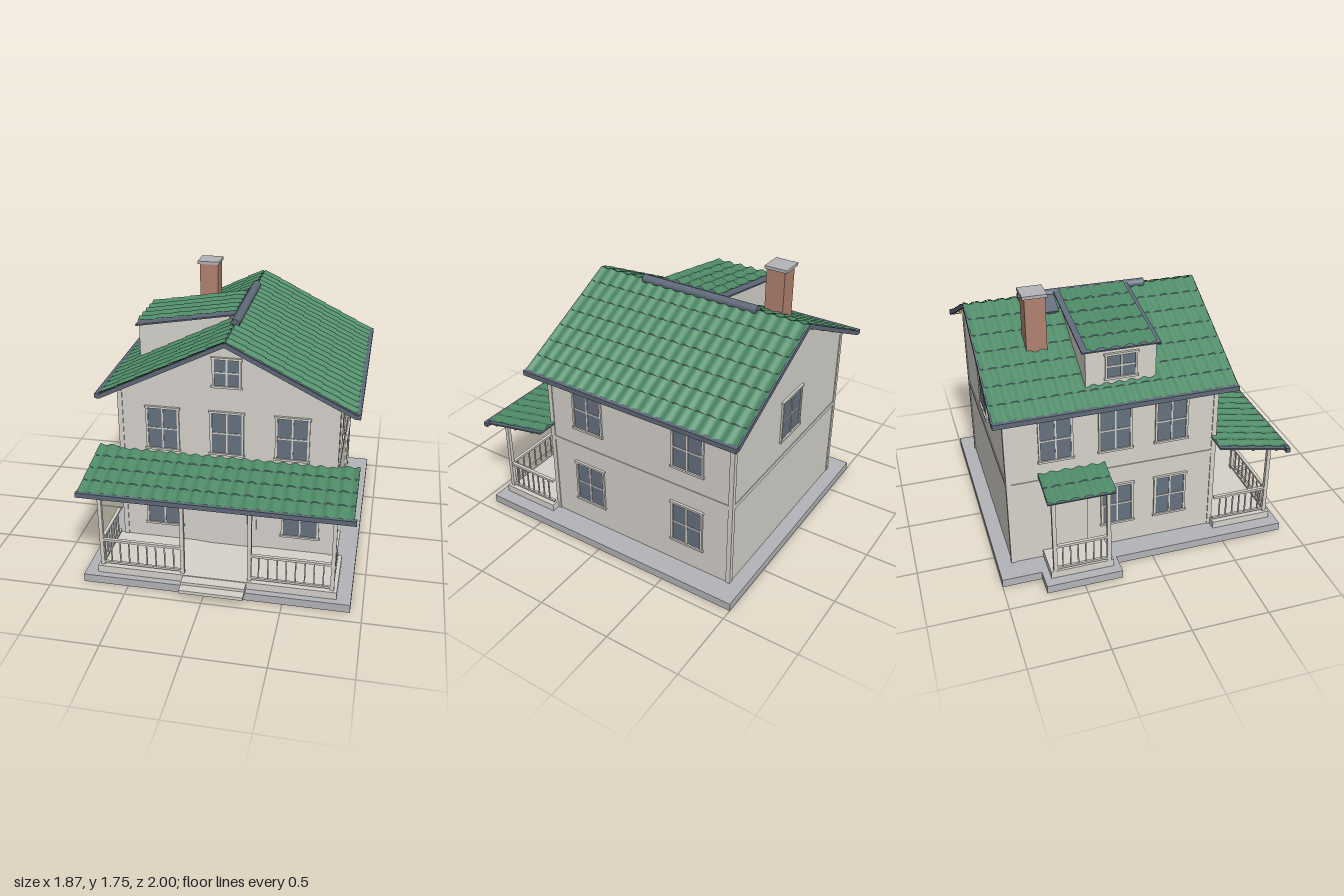
import * as THREE from 'three';
import { mergeGeometries } from 'three/addons/utils/BufferGeometryUtils.js';

const mat = (name, color, side = THREE.FrontSide) => {
  const m = new THREE.MeshStandardMaterial({ color, side });
  m.name = name;
  return m;
};

export function createModel() {
  const cream = mat('cream siding', 0xd6d3cc);
  const stone = mat('grey stone', 0xb4b5b9);
  const slate = mat('slate trim', 0x5f6979);
  const green = mat('green tiles', 0x4f8c68, THREE.DoubleSide);
  const glass = mat('window glass', 0x66727f);
  const wood = mat('rafter wood', 0xb8966c);
  const brick = mat('brick', 0xb28270);

  const house = new THREE.Group();
  house.name = 'house';

  const group = (name, parent = house) => {
    const g = new THREE.Group();
    g.name = name;
    parent.add(g);
    return g;
  };
  const add = (name, geo, m, parent = house) => {
    const mesh = new THREE.Mesh(geo, m);
    mesh.name = name;
    parent.add(mesh);
    return mesh;
  };
  // Box given by its limits on each axis
  const box = (name, m, x0, x1, y0, y1, z0, z1, parent = house) => {
    const mesh = add(name, new THREE.BoxGeometry(x1 - x0, y1 - y0, z1 - z0), m, parent);
    mesh.position.set((x0 + x1) / 2, (y0 + y1) / 2, (z0 + z1) / 2);
    return mesh;
  };
  // Outline in x-y extruded from z0 to z1
  const prism = (name, m, pts, z0, z1) => {
    const shape = new THREE.Shape(pts.map(p => new THREE.Vector2(...p)));
    const geo = new THREE.ExtrudeGeometry(shape, { depth: z1 - z0, bevelEnabled: false });
    geo.translate(0, 0, z0);
    return add(name, geo, m);
  };

  // Ground slabs, floors and steps
  box('mainSlab', stone, -0.795, 0.925, 0, 0.055, -1, 0.915);
  box('sideSlab', stone, -0.935, -0.79, 0, 0.055, -0.745, -0.25);
  box('porchFloor', cream, -0.71, 0.835, 0.055, 0.105, 0.46, 0.872);
  box('lowerStep', cream, -0.145, 0.265, 0.058, 0.08, 0.86, 1.0);
  box('upperStep', cream, -0.145, 0.265, 0.08, 0.1, 0.86, 0.94);
  box('sidePorchFloor', cream, -0.87, -0.64, 0.055, 0.105, -0.7, -0.29);

  // Walls with gables, corner boards and belt course
  const L = -0.645, R = 0.77, F = 0.465, B = -0.905, MID = 0.0625;
  prism('walls', cream, [[L, 0.05], [R, 0.05], [R, 1.2], [MID, 1.552], [L, 1.2]], B, F);
  for (const [x0, x1] of [[L - 0.006, L + 0.025], [R - 0.025, R + 0.006]])
    for (const [z0, z1] of [[B - 0.006, B + 0.025], [F - 0.025, F + 0.006]])
      box('cornerBoard', cream, x0, x1, 0.05, 1.18, z0, z1);
  box('beltCourse', cream, L - 0.005, R + 0.005, 0.628, 0.658, B - 0.005, F + 0.005);

  // Windows: glass, frame and crossing bars, turned to face out of a wall
  function addWindow(x, y, z, yaw, w, h) {
    const g = group('window');
    g.position.set(x, y, z);
    g.rotation.y = yaw;
    const a = w / 2, b = h / 2, t = 0.014;
    box('glass', glass, -a, a, -b, b, -0.002, 0.005, g);
    for (const s of [-1, 1]) {
      box('frameSide', cream, s * a - t / 2, s * a + t / 2, -b, b, 0, 0.012, g);
      box('frameRail', cream, -a - 0.014, a + 0.014, s * b - t / 2, s * b + t / 2, 0, 0.016, g);
    }
    box('verticalBar', cream, -0.005, 0.005, -b, b, 0, 0.009, g);
    box('crossBar', cream, -a, a, -0.005, 0.005, 0, 0.009, g);
  }
  for (const x of [-0.357, MID, 0.482]) addWindow(x, 0.935, F, 0, 0.205, 0.295);
  for (const x of [-0.36, 0.55]) addWindow(x, 0.37, F, 0, 0.235, 0.305);
  addWindow(MID, 1.353, F, 0, 0.17, 0.19);
  addWindow(MID, 0.93, B, Math.PI, 0.25, 0.29);
  for (const y of [0.37, 0.937])
    for (const z of [0.16, -0.59]) addWindow(R, y, z, Math.PI / 2, 0.215, 0.295);
  for (const z of [0.16, -0.21, -0.59]) addWindow(L, 0.937, z, -Math.PI / 2, 0.205, 0.295);
  for (const z of [0.16, -0.2]) addWindow(L, 0.37, z, -Math.PI / 2, 0.205, 0.295);

  // Doors
  box('frontDoorFrame', cream, -0.13, 0.26, 0.105, 0.625, F, F + 0.006);
  box('frontDoor', cream, -0.075, 0.2, 0.105, 0.597, F, F + 0.012);
  box('sideDoor', cream, L - 0.01, L, 0.105, 0.56, -0.62, -0.4);

  // Wavy tile sheet: x runs uphill, each row lifts at its lower end
  function tileSheet(length, width) {
    const rows = Math.max(2, Math.round(length / 0.13)), step = length / rows;
    const waves = Math.round(width / 0.08);
    const parts = [];
    for (let r = 0; r < rows; r++) {
      const geo = new THREE.PlaneGeometry(step, width, 1, waves * 8);
      geo.rotateX(-Math.PI / 2);
      const p = geo.attributes.position;
      for (let i = 0; i < p.count; i++) {
        const wave = Math.cos((p.getZ(i) / width + 0.5) * waves * Math.PI * 2);
        p.setY(i, 0.008 + 0.007 * wave + (p.getX(i) < 0 ? 0.005 : 0));
      }
      geo.translate(-length / 2 + (r + 0.5) * step, 0, 0);
      geo.computeVertexNormals();
      parts.push(geo);
    }
    return mergeGeometries(parts);
  }
  // Roof slope rising along local +x from (x0,y0) to (x1,y1); yaw turns the whole slope
  function roofSlope(name, yaw, [x0, y0], [x1, y1], z0, z1, edge = 0) {
    const turn = group(name);
    turn.rotation.y = yaw;
    const g = group('slope', turn);
    g.position.set((x0 + x1) / 2, (y0 + y1) / 2, (z0 + z1) / 2);
    g.rotation.z = Math.atan2(y1 - y0, x1 - x0);
    const len = Math.hypot(x1 - x0, y1 - y0), w = z1 - z0;
    add('tiles', tileSheet(len, w - 2 * edge), green, g);
    box('deck', slate, -len / 2, len / 2, -0.01, 0, -w / 2, w / 2, g);
    return { turn, g, len, w };
  }

  // Main roof: two slopes with barge boards, gutters, rafters and purlin ends
  for (const left of [true, false]) {
    const lo = left ? -0.75 : -0.875, hi = left ? MID : -MID;
    const [z0, z1] = left ? [-0.98, 0.545] : [-0.545, 0.98];
    const { turn, g, len, w } = roofSlope('mainRoof', left ? 0 : Math.PI, [lo, 1.165], [hi, 1.571], z0, z1);
    for (const s of [-1, 1])
      box('bargeBoard', slate, -len / 2, len / 2, -0.018, 0.01, s * w / 2 - 0.007, s * w / 2 + 0.007, g);
    box('gutter', slate, lo - 0.025, lo + 0.006, 1.148, 1.18, z0 - 0.005, z1 + 0.005, turn);
    const flip = left ? 1 : -1, mid = (z0 + z1) / 2;
    for (let i = 0; i < 6; i++) {
      const z = flip * (0.43 - i * 0.257) - mid;
      box('rafterTail', wood, -len / 2 + 0.012, -len / 2 + 0.14, -0.042, -0.01, z - 0.01, z + 0.01, g);
    }
    for (const t of [0.27, 0.48, 0.68, 0.88])
      for (const [a, b] of [[F - 0.01, 0.53], [-0.965, B + 0.01]]) {
        const x = -len / 2 + t * len, za = flip * a - mid, zb = flip * b - mid;
        box('purlinEnd', wood, x - 0.008, x + 0.008, -0.024, -0.01, Math.min(za, zb), Math.max(za, zb), g);
      }
  }
  const ridge = add('ridgeCap', new THREE.CylinderGeometry(0.03, 0.03, 0.84, 20), slate);
  ridge.rotation.x = Math.PI / 2;
  ridge.position.set(MID, 1.577, -0.218);
  const flashing = box('flashing', slate, -0.1, 0.04, 1.535, 1.555, -0.53, -0.41);
  flashing.rotation.z = Math.atan(0.5);

  // Dormer with shed roof
  prism('dormerWalls', cream, [[-0.61, 1.2], [0, 1.5], [0, 1.585], [-0.61, 1.478]], -0.385, 0.06);
  addWindow(-0.61, 1.362, -0.162, -Math.PI / 2, 0.19, 0.16);
  roofSlope('dormerRoof', 0, [-0.63, 1.484], [0.04, 1.6], -0.41, 0.085, 0.03);

  // Chimney
  box('chimney', brick, -0.33, -0.2, 1.3, 1.735, -0.675, -0.545);
  box('chimneyCap', stone, -0.345, -0.19, 1.735, 1.755, -0.69, -0.535);

  // Front porch roof: turned so uphill points to the house
  const porch = roofSlope('porchRoof', Math.PI / 2, [-0.92, 0.662], [-0.44, 0.757], -0.795, 0.915);
  for (const x of [-0.17, 0.0, 0.15])
    box('porchPurlin', wood, x - 0.007, x + 0.007, -0.024, -0.01, -porch.w / 2 + 0.01, porch.w / 2 - 0.01, porch.g);
  box('porchGutter', slate, -0.807, 0.93, 0.64, 0.672, 0.903, 0.932);
  roofSlope('sidePorchRoof', 0, [-0.89, 0.643], [-0.64, 0.696], -0.71, -0.28);

  // Posts and railings
  const post = (x, z, top) => box('post', cream, x - 0.0125, x + 0.0125, 0.1, top, z - 0.0125, z + 0.0125);
  const postX = [-0.682, -0.152, 0.28, 0.804], postZ = 0.842;
  postX.forEach(x => post(x, postZ, 0.67));
  for (const z of [-0.67, -0.32]) post(-0.857, z, 0.645);

  function railing(x0, z0, x1, z1, count) {
    const g = group('railing');
    const len = Math.hypot(x1 - x0, z1 - z0);
    g.position.set(x0, 0, z0);
    g.rotation.y = -Math.atan2(z1 - z0, x1 - x0);
    box('topRail', cream, 0, len, 0.283, 0.299, -0.011, 0.011, g);
    box('bottomRail', cream, 0, len, 0.115, 0.129, -0.008, 0.008, g);
    for (let i = 1; i <= count; i++) {
      const x = len * i / (count + 1);
      box('baluster', cream, x - 0.004, x + 0.004, 0.129, 0.283, -0.004, 0.004, g);
    }
  }
  railing(postX[0], postZ, postX[1], postZ, 8);
  railing(postX[2], postZ, postX[3], postZ, 8);
  railing(postX[0], F, postX[0], postZ, 7);
  railing(postX[3], F, postX[3], postZ, 7);
  railing(-0.857, -0.67, -0.857, -0.32, 6);

  return house;
}
